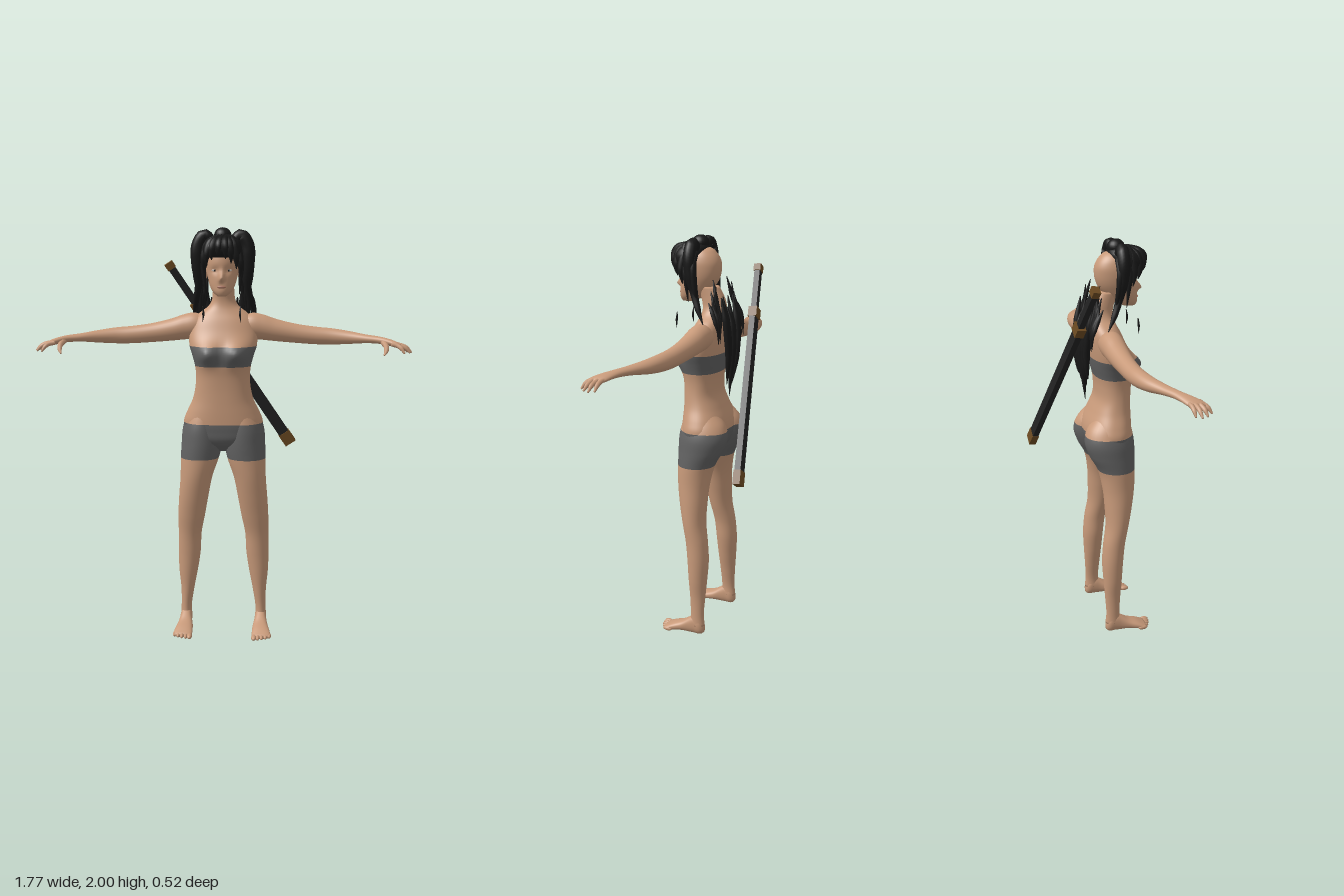
import * as THREE from 'three';

const mat = (name, color) => { const m = new THREE.MeshStandardMaterial({ color }); m.name = name; return m; };
const V = (x, y, z) => new THREE.Vector3(x, y, z);

// Closed surface through a list of rings of points
function skinRings(rings, flip, capStart = true, capEnd = true) {
  const n = rings[0].length, pts = rings.flat(), idx = [];
  const tri = (a, b, c) => (flip ? idx.push(a, c, b) : idx.push(a, b, c));
  for (let i = 0; i < rings.length - 1; i++) for (let j = 0; j < n; j++) {
    const k = (j + 1) % n, a = i * n, b = a + n;
    tri(a + j, b + j, a + k);
    tri(b + j, b + k, a + k);
  }
  const cap = (row, end) => {
    const c = V(0, 0, 0);
    rings[row].forEach(p => c.addScaledVector(p, 1 / n));
    const ci = pts.push(c) - 1;
    for (let j = 0; j < n; j++) {
      const a = row * n + j, b = row * n + (j + 1) % n;
      end ? tri(ci, b, a) : tri(ci, a, b);
    }
  };
  if (capStart) cap(0, false);
  if (capEnd) cap(rings.length - 1, true);
  const g = new THREE.BufferGeometry().setFromPoints(pts);
  g.setIndex(idx);
  g.computeVertexNormals();
  return g;
}

// Loft along an axis; row = [t, centre, half width, depth max, depth min]
const place = {
  y: (t, a, b) => V(a, t, b),
  x: (t, a, b) => V(t, b, a),
  z: (t, a, b) => V(a, b, t),
};
function loft(rows, axis, { from = rows[0][0], to = rows.at(-1)[0], warp, power = 0.88, sides = 36 } = {}) {
  const curve = new THREE.CubicInterpolant(rows.map(r => r[0]), rows.flatMap(r => r.slice(1)), 4);
  const steps = Math.ceil((to - from) / 0.009), rings = [];
  const pw = v => Math.sign(v) * Math.abs(v) ** power;
  for (let i = 0; i <= steps; i++) {
    const t = from + (to - from) * i / steps, [c, r, hi, lo] = curve.evaluate(t), ring = [];
    for (let j = 0; j < sides; j++) {
      const q = j / sides * Math.PI * 2;
      const p = place[axis](t, c + r * pw(Math.cos(q)), (hi + lo) / 2 + (hi - lo) / 2 * pw(Math.sin(q)));
      if (warp) warp(p);
      ring.push(p);
    }
    rings.push(ring);
  }
  return skinRings(rings, axis === 'z', from === rows[0][0], to === rows.at(-1)[0]);
}

// Tapered tube through points, one radius per point
function strand(points, radii, sides = 8) {
  const curve = new THREE.CatmullRomCurve3(points.map(p => V(...p)));
  const steps = points.length * 5, f = curve.computeFrenetFrames(steps), rings = [];
  for (let i = 0; i <= steps; i++) {
    const u = i / steps, s = u * (radii.length - 1), k = Math.min(Math.floor(s), radii.length - 2);
    const r = THREE.MathUtils.lerp(radii[k], radii[k + 1], s - k), c = curve.getPointAt(u);
    rings.push(Array.from({ length: sides }, (_, j) => {
      const q = j / sides * Math.PI * 2;
      return c.clone().addScaledVector(f.normals[i], r * Math.cos(q)).addScaledVector(f.binormals[i], r * Math.sin(q));
    }));
  }
  return skinRings(rings, true);
}

const blob = (x, y, z, rx, ry, rz) => new THREE.SphereGeometry(1, 20, 14).scale(rx, ry, rz).translate(x, y, z);

// Copy reflected in x with its winding restored
function mirrored(geo) {
  const g = geo.clone().scale(-1, 1, 1), a = g.index.array;
  for (let i = 0; i < a.length; i += 3) [a[i], a[i + 1]] = [a[i + 1], a[i]];
  g.computeVertexNormals();
  return g;
}

export function createModel() {
  const model = new THREE.Group();
  const skin = mat('skin', 0xc89a7a), cloth = mat('grey cloth', 0x626262), hair = mat('black hair', 0x181818);
  const lacquer = mat('dark scabbard', 0x222222), brass = mat('brown fittings', 0x6e4c22);
  const lip = mat('lips', 0xa97460), white = mat('eye white', 0xc8c0b8);
  const add = (name, geo, m, parent = model) => {
    const mesh = new THREE.Mesh(geo, m);
    mesh.name = name;
    parent.add(mesh);
  };
  const pair = (name, geo, m) => { add(name + 'Left', geo, m); add(name + 'Right', mirrored(geo), m); };

  // Torso and neck, split where the clothing begins and ends
  const torso = [
    [0.93, 0, 0.03, 0.1, 0.03], [0.98, 0, 0.15, 0.155, -0.03], [1.04, 0, 0.19, 0.167, -0.055],
    [1.08, 0, 0.193, 0.168, -0.058], [1.12, 0, 0.178, 0.168, -0.05], [1.18, 0, 0.15, 0.167, -0.025],
    [1.24, 0, 0.135, 0.167, -0.002], [1.3, 0, 0.13, 0.17, 0], [1.35, 0, 0.135, 0.176, -0.006],
    [1.4, 0, 0.148, 0.178, -0.018], [1.45, 0, 0.163, 0.168, -0.027], [1.52, 0, 0.16, 0.135, -0.036],
    [1.57, 0, 0.142, 0.113, -0.04], [1.6, 0, 0.115, 0.097, -0.038], [1.63, 0, 0.075, 0.086, -0.035],
    [1.66, 0, 0.057, 0.083, -0.031], [1.7, 0, 0.052, 0.09, -0.022], [1.76, 0, 0.05, 0.11, 0.01],
  ];
  const bust = p => {
    const w = THREE.MathUtils.clamp((p.z - 0.06) / 0.06, 0, 1);
    p.z += 0.042 * w * Math.exp(-(((Math.abs(p.x) - 0.07) / 0.05) ** 2) - ((p.y - 1.412) / 0.048) ** 2);
  };
  [['shortsTop', 0.93, 1.07, cloth], ['waist', 1.07, 1.35, skin], ['chestBand', 1.35, 1.445, cloth], ['chestAndNeck', 1.445, 1.76, skin]]
    .forEach(([name, from, to, m]) => add(name, loft(torso, 'y', { from, to, warp: bust, sides: 56 }), m));

  // Legs
  const leg = [
    [0.05, 0.19, 0.029, 0.08, 0], [0.1, 0.19, 0.026, 0.075, 0.005], [0.2, 0.183, 0.033, 0.08, 0],
    [0.3, 0.178, 0.047, 0.088, -0.007], [0.4, 0.172, 0.056, 0.095, -0.012], [0.5, 0.168, 0.058, 0.105, -0.005],
    [0.6, 0.158, 0.067, 0.125, 0.01], [0.7, 0.146, 0.073, 0.145, 0.008], [0.8, 0.132, 0.079, 0.16, 0],
    [0.9, 0.114, 0.095, 0.166, -0.022], [0.97, 0.105, 0.101, 0.168, -0.06], [1.04, 0.1, 0.1, 0.165, -0.08],
    [1.1, 0.09, 0.09, 0.155, -0.064], [1.16, 0.08, 0.065, 0.14, -0.015],
  ];
  [['leg', 0.05, 0.895, skin], ['shortsLeg', 0.895, 1.07, cloth], ['hip', 1.07, 1.16, skin]]
    .forEach(([name, from, to, m]) => pair(name, loft(leg, 'y', { from, to, power: 1 }), m));

  // Feet and toes
  pair('foot', loft([
    [0.003, 0.19, 0.014, 0.05, 0.012], [0.015, 0.19, 0.025, 0.08, 0.002], [0.05, 0.19, 0.029, 0.1, 0],
    [0.08, 0.19, 0.031, 0.085, 0], [0.12, 0.19, 0.038, 0.06, 0.003], [0.17, 0.194, 0.045, 0.042, 0],
    [0.2, 0.196, 0.046, 0.028, 0], [0.213, 0.196, 0.04, 0.022, 0.003],
  ], 'z'), skin);
  for (let i = 0; i < 5; i++)
    pair('toe' + i, blob(0.16 + i * 0.019, 0.012, 0.22 - i * i * 0.0018, i ? 0.009 : 0.013, i ? 0.011 : 0.012, 0.025), skin);

  // Arms running into the palms: [x, z centre, z radius, y top, y bottom]
  pair('arm', loft([
    [0.08, 0.035, 0.05, 1.58, 1.49], [0.14, 0.035, 0.058, 1.6, 1.475], [0.19, 0.035, 0.056, 1.592, 1.47],
    [0.25, 0.035, 0.052, 1.572, 1.464], [0.35, 0.036, 0.045, 1.548, 1.456], [0.45, 0.039, 0.042, 1.534, 1.45],
    [0.52, 0.046, 0.04, 1.528, 1.45], [0.6, 0.068, 0.037, 1.517, 1.455], [0.68, 0.107, 0.03, 1.504, 1.463],
    [0.74, 0.137, 0.027, 1.497, 1.463], [0.78, 0.162, 0.034, 1.489, 1.457], [0.815, 0.183, 0.038, 1.477, 1.45],
    [0.83, 0.188, 0.03, 1.468, 1.452],
  ], 'x', { power: 1, sides: 28 }), skin);
  [[0.825, 0.157, 0.868, 0.16], [0.83, 0.176, 0.884, 0.182], [0.826, 0.196, 0.874, 0.21], [0.812, 0.212, 0.845, 0.24]]
    .forEach(([x, z, tx, tz], i) => pair('finger' + i, strand(
      [[x - 0.025, 1.467, z - 0.006], [x, 1.462, z], [(x + tx) / 2, 1.452, (z + tz) / 2], [tx, 1.428, tz]],
      [0.009, 0.0105, 0.0095, 0.004]), skin));
  pair('thumb', strand([[0.755, 1.472, 0.16], [0.765, 1.455, 0.195], [0.762, 1.435, 0.222], [0.752, 1.42, 0.242]],
    [0.014, 0.013, 0.011, 0.004]), skin);

  // Head with nose and brow modelled in
  add('head', loft([
    [1.684, 0, 0.02, 0.198, 0.14], [1.7, 0, 0.04, 0.206, 0.1], [1.73, 0, 0.058, 0.206, 0.06],
    [1.77, 0, 0.069, 0.204, 0.022], [1.8, 0, 0.076, 0.2, 0.006], [1.84, 0, 0.08, 0.203, -0.003],
    [1.88, 0, 0.077, 0.195, 0], [1.92, 0, 0.06, 0.17, 0.024], [1.94, 0, 0.036, 0.14, 0.05], [1.948, 0, 0.01, 0.11, 0.08],
  ], 'y', {
    sides: 64, power: 0.95, warp: p => {
      if (p.z < 0.14) return;
      p.z += 0.026 * Math.exp(-((p.x / 0.011) ** 2) - ((p.y - 1.763) / (p.y > 1.763 ? 0.032 : 0.01)) ** 2);
      p.z -= 0.007 * Math.exp(-(((Math.abs(p.x) - 0.033) / 0.018) ** 2) - ((p.y - 1.802) / 0.014) ** 2);
    },
  }), skin);
  pair('ear', blob(0.079, 1.79, 0.1, 0.009, 0.026, 0.016), skin);
  pair('eye', blob(0.033, 1.803, 0.183, 0.014, 0.005, 0.004), white);
  pair('iris', blob(0.032, 1.803, 0.186, 0.005, 0.005, 0.003), hair);
  pair('eyebrow', blob(0.036, 1.824, 0.189, 0.019, 0.003, 0.004).rotateZ(0.01), hair);
  add('lips', blob(0, 1.727, 0.204, 0.02, 0.007, 0.006), lip);

  // Hair over the front of the scalp, with a bun on top
  add('hairCap', loft([
    [1.862, 0, 0.083, 0.21, 0.085], [1.89, 0, 0.092, 0.226, 0.07], [1.92, 0, 0.088, 0.222, 0.058],
    [1.95, 0, 0.066, 0.19, 0.062], [1.966, 0, 0.025, 0.15, 0.085],
  ], 'y'), hair);
  add('bun', blob(0, 1.962, 0.1, 0.041, 0.038, 0.042), hair);
  [[-0.085, 1.79, 0.165], [-0.07, 1.82, 0.195], [-0.045, 1.85, 0.222], [-0.015, 1.865, 0.236],
    [0.02, 1.855, 0.236], [0.045, 1.835, 0.222], [0.068, 1.81, 0.198], [0.085, 1.775, 0.165]]
    .forEach(([x, y, z], i) => add('fringe' + i, strand(
      [[0.015 + x * 0.3, 1.955, 0.16], [x * 0.75, 1.925, z - 0.01], [x, (y + 1.9) / 2, z], [x, y, z - 0.008]],
      [0.014, 0.02, 0.017, 0.002]), hair));
  pair('faceLock', strand([[0.075, 1.89, 0.14], [0.088, 1.82, 0.14], [0.084, 1.75, 0.135], [0.08, 1.69, 0.13]],
    [0.016, 0.014, 0.009, 0.001]), hair);

  // Side tails looping up and hanging to the shoulders
  pair('sideTail', strand([[0.045, 1.93, 0.1], [0.085, 1.965, 0.1], [0.115, 1.925, 0.1], [0.121, 1.83, 0.095],
    [0.116, 1.74, 0.08], [0.132, 1.66, 0.05], [0.145, 1.6, 0.02]],
    [0.022, 0.03, 0.032, 0.027, 0.018, 0.014, 0.002], 12), hair);
  pair('sideLock', strand([[0.1, 1.93, 0.08], [0.13, 1.86, 0.08], [0.13, 1.76, 0.07], [0.122, 1.68, 0.06]],
    [0.018, 0.016, 0.012, 0.001]), hair);
  pair('frontWisp', strand([[0.088, 1.64, 0.185], [0.086, 1.6, 0.19], [0.09, 1.565, 0.188]], [0.002, 0.006, 0.001], 5), hair);

  // Long hair down the back and loose strands behind the shoulders
  for (let i = 0; i < 9; i++) {
    const s = (i - 4) / 4, end = 1.23 + Math.abs(s) * 0.12 + (i % 2) * 0.04, d = (i % 3) * 0.006;
    add('backLock' + i, strand([[s * 0.085, 1.72 - (i % 2) * 0.05, -0.035 - d], [s * 0.08, 1.6, -0.056 - d],
      [s * 0.065, 1.47, -0.062 - d], [s * 0.05, 1.35, -0.052 - d], [s * 0.03, end, -0.044 - d]],
      [0.003, 0.016, 0.018, 0.015, 0.001]), hair);
  }
  for (let i = 0; i < 5; i++)
    pair('looseStrand' + i, strand([[0.075 + i * 0.013, 1.8 - i * 0.025, 0.0 - (i % 2) * 0.02], [0.09 + i * 0.012, 1.7 - i * 0.01, -0.025],
      [0.1 + i * 0.012, 1.62 - (i % 3) * 0.02, -0.05], [0.115 + i * 0.009, 1.56 - (i % 2) * 0.05, -0.06]],
      [0.002, 0.011, 0.01, 0.001], 6), hair);

  // Sheathed sword slung across the back
  const sword = new THREE.Group(), top = V(-0.28, 1.835, -0.08);
  sword.name = 'sword';
  const dir = V(0.335, 0.905, -0.25).sub(top).normalize();
  const wide = dir.clone().cross(V(0, 0, 1)).normalize();
  sword.quaternion.setFromRotationMatrix(new THREE.Matrix4().makeBasis(wide, dir, wide.clone().cross(dir)));
  sword.position.copy(top);
  [['pommel', 0, 0.035, 0.042, 0.036, brass], ['grip', 0.03, 0.25, 0.034, 0.028, lacquer],
    ['guard', 0.235, 0.285, 0.058, 0.044, brass], ['scabbard', 0.28, 1.07, 0.054, 0.03, lacquer],
    ['scabbardTip', 1.06, 1.128, 0.06, 0.036, brass]]
    .forEach(([name, a, b, w, d, m]) => add(name, new THREE.BoxGeometry(w, b - a, d).translate(0, (a + b) / 2, 0), m, sword));
  model.add(sword);
  return model;
}
